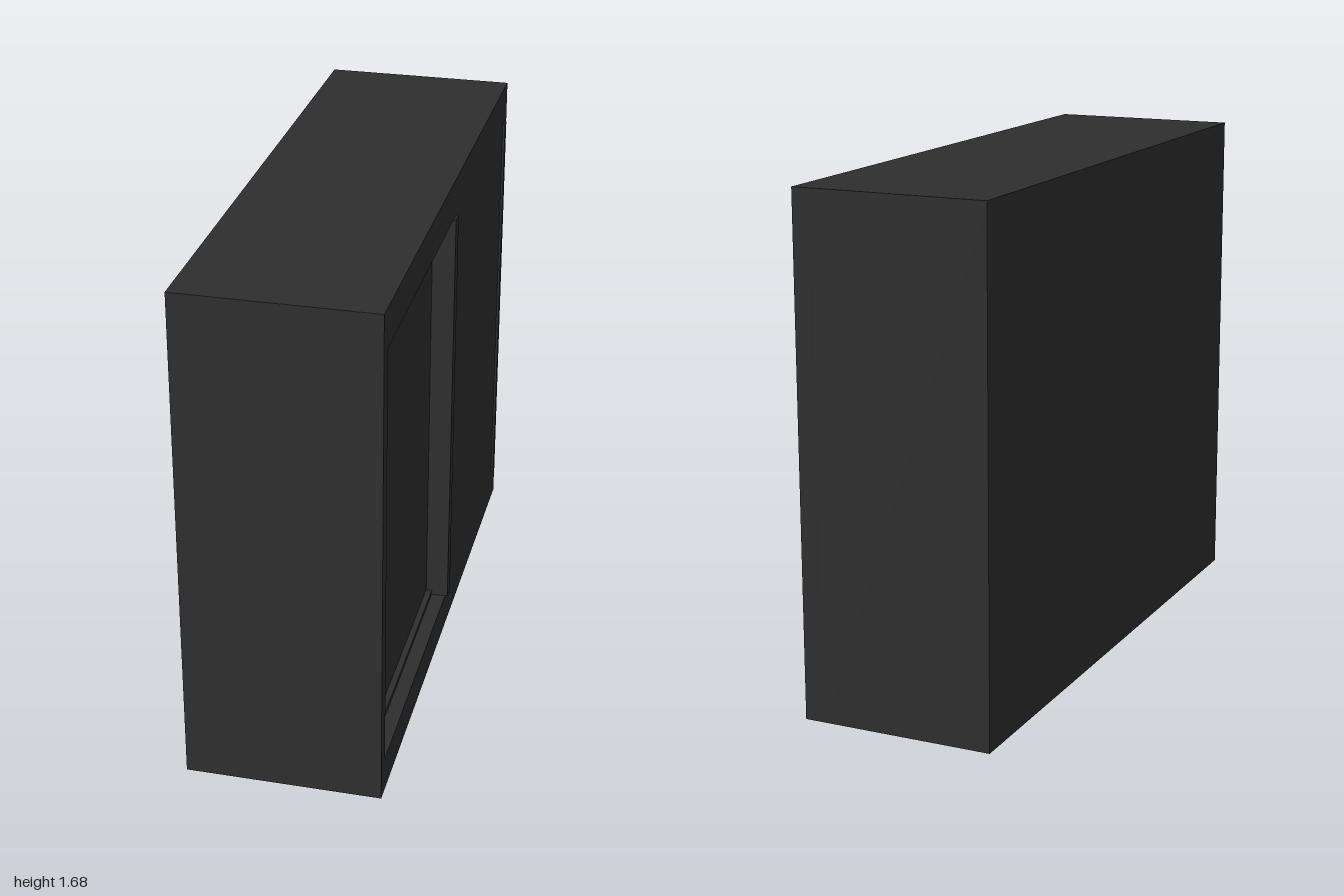
import * as THREE from 'three';

export function createModel() {
  const group = new THREE.Group();
  const charcoal = new THREE.MeshStandardMaterial({ color: 0x2e2e2e });
  charcoal.name = 'charcoal';

  const backX = -0.324, faceX = 0.316, panelX = 0.248; // panelX: depth of the recessed door
  const low = 0.12, high = 1.556, tall = 1.685;         // door opening heights
  const proud = 0.008;                                  // how far the handles stand out

  function add(name, geometry) {
    const mesh = new THREE.Mesh(geometry, charcoal);
    mesh.name = name;
    group.add(mesh);
  }
  // Box given by its limits on each axis
  function block(name, x0, x1, y0, y1, z0, z1) {
    const g = new THREE.BoxGeometry(x1 - x0, y1 - y0, z1 - z0);
    g.translate((x0 + x1) / 2, (y0 + y1) / 2, (z0 + z1) / 2);
    add(name, g);
  }
  function rect(target, z0, z1, y0, y1) {
    target.moveTo(-z1, y0);
    target.lineTo(-z0, y0);
    target.lineTo(-z0, y1);
    target.lineTo(-z1, y1);
    target.closePath();
    return target;
  }

  // Cabinet body, its face doubling as the recessed sliding door
  block('cabinetBody', backX, panelX, 0, tall, -1, 1);

  // Face frame with one opening for both sliding doors
  const face = rect(new THREE.Shape(), -1, 1, 0, tall);
  face.holes.push(rect(new THREE.Path(), -0.955, 0.95, low, high));
  const frame = new THREE.ExtrudeGeometry(face, { depth: faceX - panelX, bevelEnabled: false });
  frame.rotateY(Math.PI / 2);
  frame.translate(panelX, 0, 0);
  add('faceFrame', frame);

  // Outer sliding door, flush with the frame
  block('outerDoor', panelX, faceX, low, high, -0.955, -0.012);

  // Vertical handle strips: two on the outer door, one on the recessed door
  block('outerDoorBackHandle', faceX, faceX + proud, low, high, -0.955, -0.928);
  block('outerDoorFrontHandle', faceX, faceX + proud, low, high, -0.057, -0.012);
  block('innerDoorHandle', panelX, panelX + proud, low, high, 0.918, 0.95);

  // Bottom track of the recessed door
  block('bottomTrack', panelX, panelX + 0.02, low, 0.136, -0.012, 0.95);

  return group;
}
